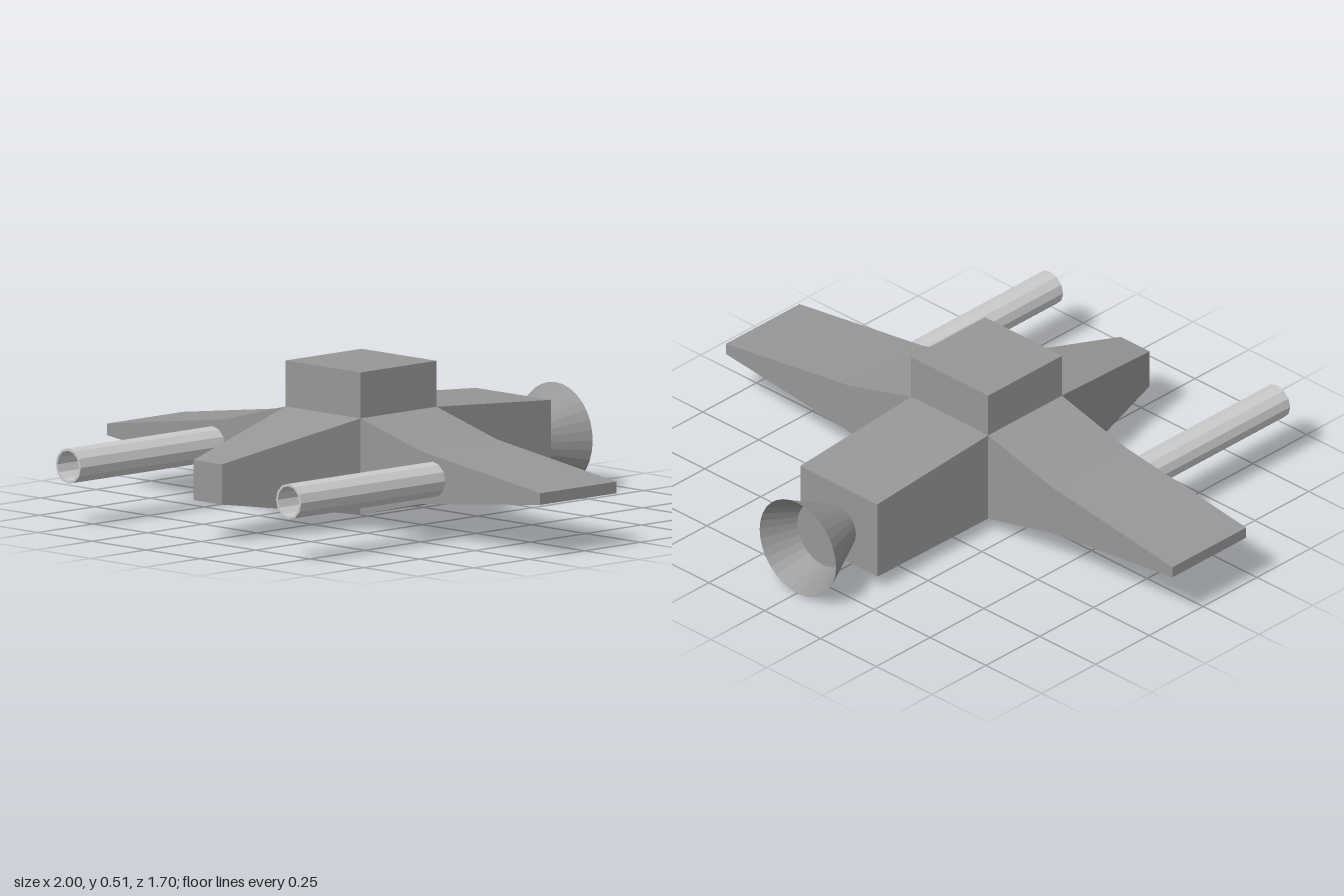
import * as THREE from 'three';

const finish = (color) => new THREE.MeshStandardMaterial({ color, flatShading: true, side: THREE.DoubleSide });
const hullGrey = finish(0x979797);
const barrelGrey = finish(0xd4d4d4);

// Hard-edged loft through rectangles [z, x0, x1, y0, y1] given in rising z
function loft(sections, capStart = true) {
  const rings = sections.map(([z, x0, x1, y0, y1]) => [[x0, y0, z], [x1, y0, z], [x1, y1, z], [x0, y1, z]]);
  const positions = [];
  const quad = (a, b, c, d) => positions.push(...a, ...b, ...c, ...a, ...c, ...d);
  for (let s = 0; s < rings.length - 1; s++) {
    for (let i = 0; i < 4; i++) {
      const j = (i + 1) % 4;
      quad(rings[s][i], rings[s][j], rings[s + 1][j], rings[s + 1][i]);
    }
  }
  if (capStart) quad(...[...rings[0]].reverse());
  quad(...rings[rings.length - 1]);
  const geometry = new THREE.BufferGeometry();
  geometry.setAttribute('position', new THREE.Float32BufferAttribute(positions, 3));
  geometry.computeVertexNormals();
  return geometry;
}

export function createModel() {
  const group = new THREE.Group();
  const add = (name, geometry, material = hullGrey) => {
    const mesh = new THREE.Mesh(geometry, material);
    mesh.name = name;
    group.add(mesh);
    return mesh;
  };

  const left = 0.17, right = -0.175;
  const front = 0.2, back = -0.143;

  // Fuselage with tapered nose and tail
  add('fuselage', loft([
    [-0.658, right, left, 0.052, 0.325],
    [back, right, left, 0.046, 0.36],
    [front, right, left, 0.046, 0.36],
    [0.719, -0.068, 0.062, 0.124, 0.255],
  ]));

  // Cabin block, open where it meets the fuselage
  const cabin = loft([[0.36, right, left, -front, -back], [0.51, right, left, -front, -back]], false);
  add('cabin', cabin.rotateX(-Math.PI / 2));

  // Hollow barrel with a thin rim: inner wall, front rim, outer wall
  const barrelProfile = [[0.05, 0.2], [0.05, 0.85], [0.058, 0.85], [0.058, 0.2]];
  const barrel = new THREE.LatheGeometry(barrelProfile.map(([r, z]) => new THREE.Vector2(r, z)), 12);
  barrel.rotateX(Math.PI / 2);

  for (const side of [1, -1]) {
    // Wings thin out in two steps towards the tips
    const [c0, c1] = side > 0 ? [-front, -back] : [back, front];
    const wing = loft([
      [side > 0 ? left : -right, c0, c1, 0.046, 0.36],
      [side > 0 ? 0.45 : 0.46, c0, c1, 0.112, 0.285],
      [1, c0, c1, 0.172, 0.21],
    ], false);
    add(side > 0 ? 'leftWing' : 'rightWing', wing.rotateY(side * Math.PI / 2));

    // Barrel on the leading edge
    add(side > 0 ? 'leftBarrel' : 'rightBarrel', barrel, barrelGrey)
      .position.set(side > 0 ? 0.504 : -0.513, 0.199, 0);
  }

  // Flared engine nozzle, open at the rear, with a plate part-way inside
  const nozzle = new THREE.CylinderGeometry(0.075, 0.171, 0.192, 32, 1, true).rotateX(Math.PI / 2);
  add('nozzle', nozzle).position.set(-0.004, 0.171, -0.754);
  const plate = new THREE.CircleGeometry(0.112, 32).rotateY(Math.PI);
  add('nozzlePlate', plate).position.set(-0.004, 0.171, -0.735);

  return group;
}
